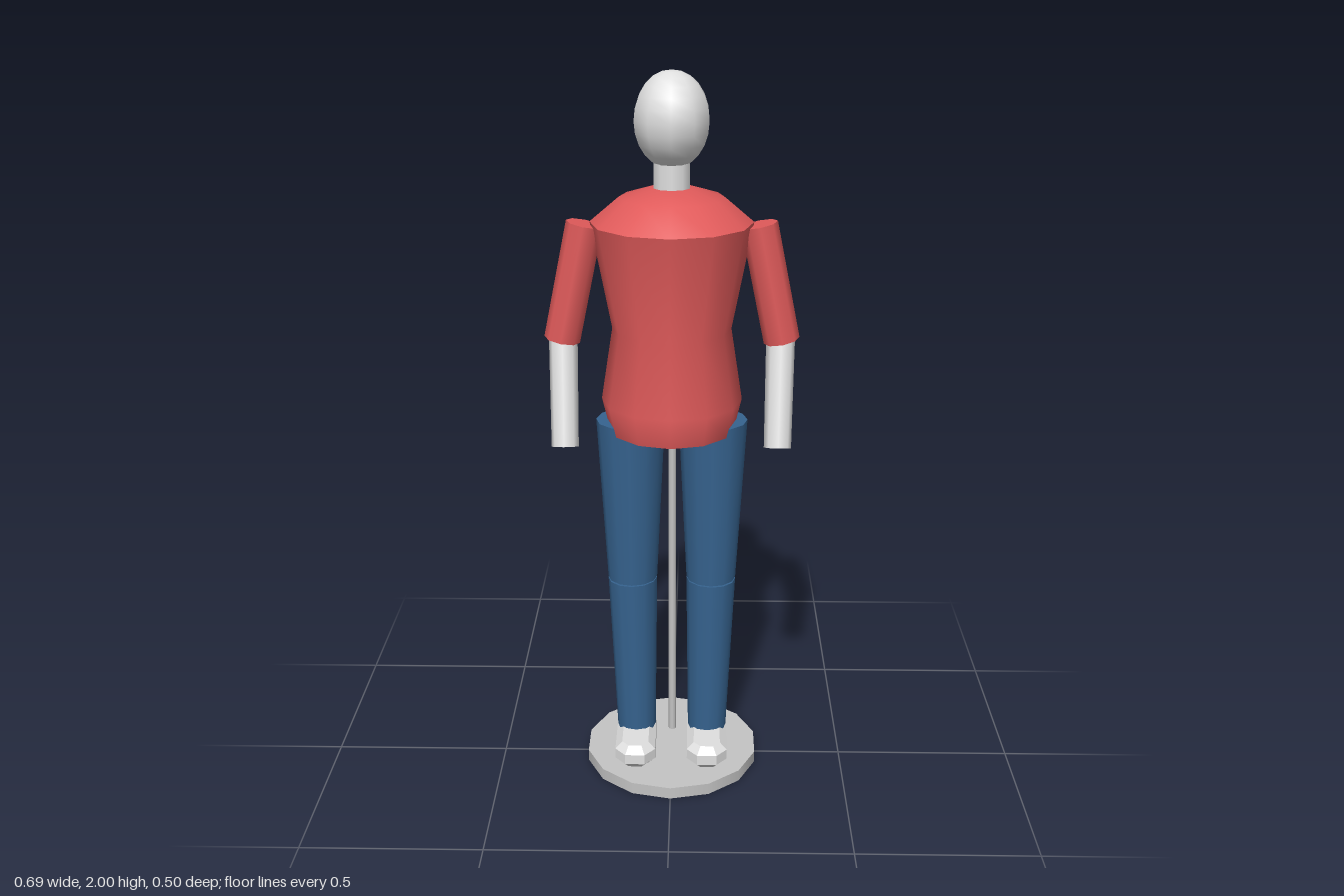
import * as THREE from 'three';

const mat = (name, color) => {
  const m = new THREE.MeshStandardMaterial({ color });
  m.name = name;
  return m;
};

export function createModel() {
  const root = new THREE.Group();
  root.name = 'mannequin';
  const skin = mat('pale plastic', 0xe0e0e0);
  const shirt = mat('red shirt', 0xe05a5a);
  const denim = mat('blue denim', 0x36638f);
  const stand = mat('grey stand', 0xc4c4c4);

  const add = (name, geometry, material, x = 0, y = 0, z = 0) => {
    const mesh = new THREE.Mesh(geometry, material);
    mesh.name = name;
    mesh.position.set(x, y, z);
    root.add(mesh);
    return mesh;
  };

  // Tapered cylinder running between two points
  const limb = (name, from, to, rFrom, rTo, sides, material, spin = 0) => {
    const a = new THREE.Vector3(...from), b = new THREE.Vector3(...to);
    const axis = a.clone().sub(b);
    const g = new THREE.CylinderGeometry(rFrom, rTo, axis.length(), sides).rotateY(spin);
    const mesh = add(name, g, material);
    mesh.position.copy(a).add(b).multiplyScalar(0.5);
    mesh.quaternion.setFromUnitVectors(new THREE.Vector3(0, 1, 0), axis.normalize());
    return mesh;
  };

  const lathe = (name, points, material) =>
    add(name, new THREE.LatheGeometry(points.map(p => new THREE.Vector2(...p)), 12), material);

  // Stand
  add('standBase', new THREE.CylinderGeometry(0.252, 0.252, 0.034, 14), stand, 0, 0.017, 0);
  limb('standPole', [0, 1.1, -0.075], [0, 0.03, -0.075], 0.011, 0.011, 8, stand);

  // Torso, split where the edges are sharp
  lathe('torsoUnderside', [[0, 1.035], [0.172, 1.035]], shirt);
  lathe('torso', [[0.172, 1.035], [0.192, 1.12], [0.161, 1.32], [0.217, 1.61]], shirt);
  lathe('shoulders', [[0.217, 1.61], [0.14, 1.675], [0.06, 1.7], [0, 1.7]], shirt);

  // Neck and head
  add('neck', new THREE.CylinderGeometry(0.05, 0.05, 0.11, 10), skin, 0, 1.725, 0);
  const headGeometry = new THREE.SphereGeometry(1, 10, 12).rotateY(Math.PI / 2);
  headGeometry.scale(0.102, 0.125, 0.111);
  add('head', headGeometry, skin, 0, 1.875, 0);

  // Shoe: octagonal outline with a chamfer above and below
  const w = 0.058, l = 0.12, cw = 0.03, cl = 0.035;
  const outline = new THREE.Shape([
    [w, -l + cl], [w, l - cl], [w - cw, l], [-w + cw, l],
    [-w, l - cl], [-w, -l + cl], [-w + cw, -l], [w - cw, -l],
  ].map(p => new THREE.Vector2(...p)));
  const shoeGeometry = new THREE.ExtrudeGeometry(outline, {
    depth: 0.03, bevelThickness: 0.02, bevelSize: 0.02, bevelOffset: -0.02, bevelSegments: 1,
  }).rotateX(-Math.PI / 2);

  // Arms, legs and shoes on both sides
  for (const [side, s] of [['left', 1], ['right', -1]]) {
    limb(side + 'UpperArm', [s * 0.231, 1.604, 0], [s * 0.297, 1.287, 0], 0.049, 0.049, 8, shirt);
    limb(side + 'Forearm', [s * 0.294, 1.3, 0], [s * 0.288, 1.01, 0.09], 0.039, 0.037, 8, skin);
    limb(side + 'Thigh', [s * 0.114, 1.06, 0], [s * 0.112, 0.582, 0], 0.095, 0.07, 12, denim);
    limb(side + 'Shin', [s * 0.112, 0.578, 0], [s * 0.104, 0.095, 0], 0.07, 0.056, 12, denim);
    add(side + 'Shoe', shoeGeometry, skin, s * 0.104, 0.055, 0.043);
  }
  return root;
}
